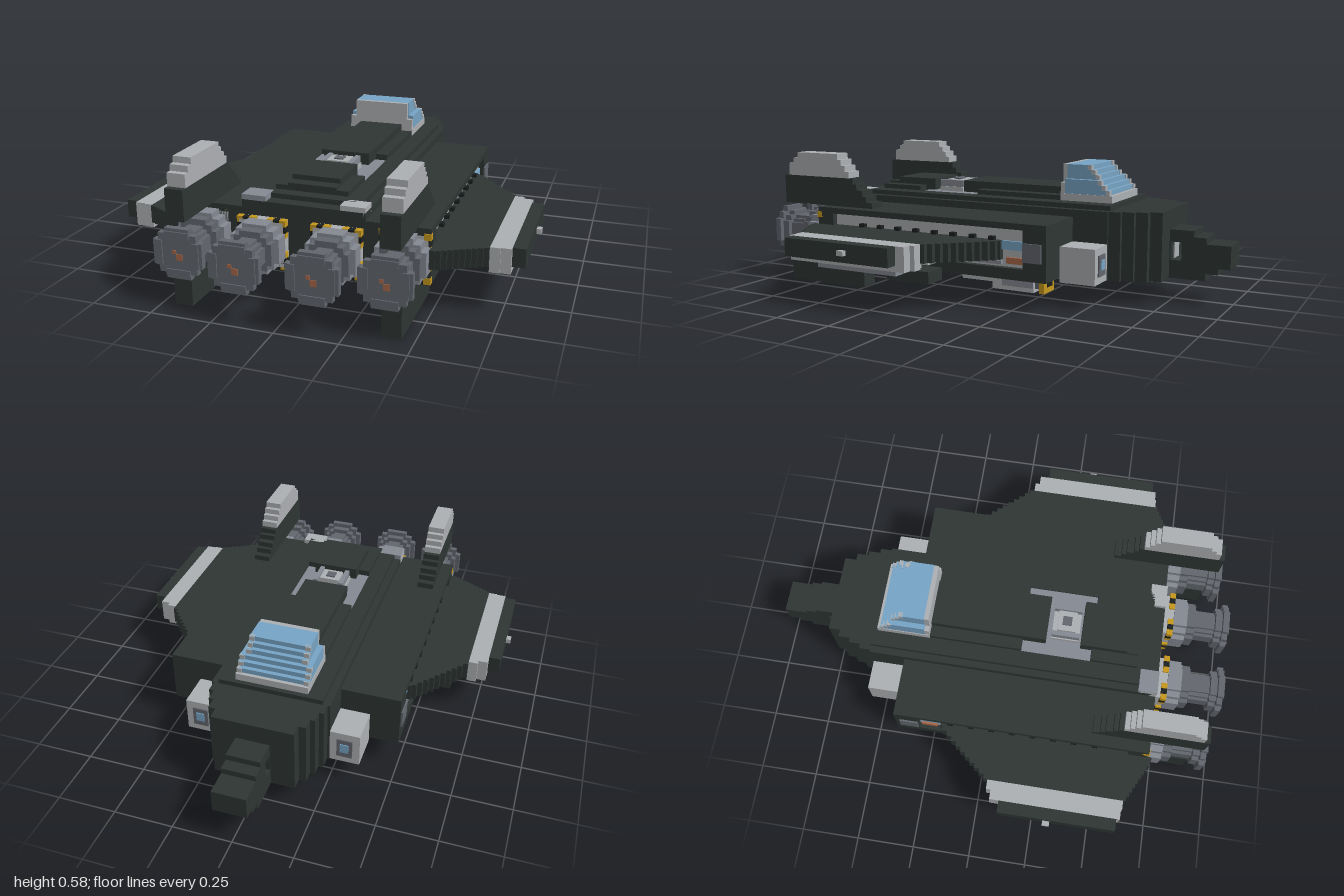
import * as THREE from 'three';

const mat = (name, color) => {
  const m = new THREE.MeshStandardMaterial({ color });
  m.name = name;
  return m;
};

export function createModel() {
  const hull = mat('dark hull', 0x2e3634);
  const light = mat('light grey', 0xaeb1b4);
  const mid = mat('mid grey', 0x868a94);
  const slate = mat('slate grey', 0x63676e);
  const yellow = mat('hazard yellow', 0xc6981c);
  const glass = mat('blue glass', 0x78a5c6);
  const copper = mat('copper', 0xa9694a);
  const black = mat('black', 0x1c2020);

  const ship = new THREE.Group();
  ship.name = 'spaceship';

  // Box given by its minimum and maximum on each axis
  const box = (name, m, x0, x1, y0, y1, z0, z1, parent = ship) => {
    const mesh = new THREE.Mesh(new THREE.BoxGeometry(Math.abs(x1 - x0), y1 - y0, z1 - z0), m);
    mesh.position.set((x0 + x1) / 2, (y0 + y1) / 2, (z0 + z1) / 2);
    mesh.name = name;
    parent.add(mesh);
    return mesh;
  };
  // The same box on both sides
  const pair = (name, m, x0, x1, ...rest) => {
    for (const s of [1, -1]) box(name, m, s * x0, s * x1, ...rest);
  };
  const mid0 = (name, m, w, ...rest) => box(name, m, -w, w, ...rest);

  // Central fuselage with a stepped taper to the nose
  mid0('fuselage', hull, 0.25, 0.1, 0.38, -0.55, 0.7);
  [[0.24, -0.6], [0.22, -0.65], [0.2, -0.7], [0.17, -0.75]].forEach(([w, z]) =>
    mid0('noseTaper', hull, w, 0.1, 0.38, z, z + 0.05));

  // Nose beam: stepped side profile with a through opening
  const steps = [[-0.75, 0.325], [-0.85, 0.3], [-0.9, 0.275], [-0.95, 0.25], [-1, 0.25]];
  const profile = new THREE.Shape();
  profile.moveTo(0.75, 0.1);
  profile.lineTo(0.9, 0.1);
  profile.lineTo(0.9, 0.13);
  profile.lineTo(0.95, 0.13);
  profile.lineTo(0.95, 0.155);
  profile.lineTo(1, 0.155);
  for (let i = steps.length - 1; i > 0; i--) {
    profile.lineTo(-steps[i][0], steps[i][1]);
    profile.lineTo(-steps[i - 1][0], steps[i][1]);
    profile.lineTo(-steps[i - 1][0], steps[i - 1][1]);
  }
  const hole = new THREE.Path();
  [[0.755, 0.175], [0.755, 0.25], [0.8, 0.25], [0.8, 0.175]].forEach(([a, b], i) =>
    i ? hole.lineTo(a, b) : hole.moveTo(a, b));
  profile.holes.push(hole);
  const nose = new THREE.Mesh(
    new THREE.ExtrudeGeometry(profile, { depth: 0.14, bevelEnabled: false }), hull);
  nose.name = 'nose';
  nose.rotation.y = Math.PI / 2;
  nose.position.x = -0.07;
  ship.add(nose);
  mid0('noseSensor', light, 0.03, 0.175, 0.25, -0.76, -0.75);

  // Raised spine in layers, open around the roof turret
  for (const [w, y0, y1, z0, z1] of [[0.22, 0.38, 0.4, -0.55, 0.65], [0.15, 0.4, 0.42, -0.53, 0.6]]) {
    mid0('spineFront', hull, w, y0, y1, z0, 0.1);
    mid0('spineRear', hull, w, y0, y1, 0.4, z1);
    if (w > 0.15) pair('spineSide', hull, 0.15, w, y0, y1, 0.1, 0.4);
  }
  mid0('ridgeFront', hull, 0.1, 0.4, 0.45, -0.3, 0.2);
  mid0('ridgeRear', hull, 0.1, 0.4, 0.45, 0.35, 0.55);
  mid0('ridgeStep', hull, 0.1, 0.4, 0.43, 0.55, 0.6);
  mid0('turretWell', mid, 0.15, 0.38, 0.395, 0.1, 0.4);
  mid0('turretBase', light, 0.075, 0.39, 0.415, 0.22, 0.34);
  mid0('turretDrum', light, 0.045, 0.41, 0.445, 0.24, 0.32);
  mid0('turretCap', slate, 0.02, 0.44, 0.45, 0.26, 0.3);
  pair('turretArm', mid, 0.05, 0.07, 0.41, 0.445, 0.22, 0.34);
  pair('deckVent', light, 0.15, 0.25, 0.35, 0.4, 0.63, 0.7);
  box('deckVentCover', mid, -0.25, -0.15, 0.38, 0.401, 0.62, 0.701);

  // Cockpit with a stair-stepped windscreen
  mid0('cockpitRear', light, 0.15, 0.42, 0.475, -0.32, -0.3);
  mid0('cockpitRearTop', light, 0.125, 0.475, 0.55, -0.32, -0.3);
  mid0('cockpitSill', light, 0.153, 0.4, 0.43, -0.53, -0.3);
  const rows = 6;
  for (let i = 0; i < rows; i++) {
    const y = 0.43 + i * 0.02;
    const w = i < 3 ? 0.15 : 0.127;
    const z = -0.515 + i * 0.018;
    mid0('windscreen', glass, w, y, y + 0.02, z, -0.32);
    pair('windscreenFrame', light, w - 0.02, w + 0.002, y, y + 0.02, z - 0.004, z + 0.014);
  }

  // Side hulls with a long recessed machinery channel
  pair('sideHull', hull, 0.25, 0.46, 0.125, 0.35, -0.4, 0.7);
  pair('sideRoof', hull, 0.46, 0.5, 0.325, 0.35, -0.4, 0.7);
  pair('sideFloor', hull, 0.46, 0.5, 0.125, 0.17, -0.4, 0.7);
  pair('sideRearPost', hull, 0.46, 0.5, 0.17, 0.325, 0.62, 0.7);
  pair('sideFrontPost', hull, 0.46, 0.5, 0.17, 0.325, -0.4, -0.3);
  pair('channelPanel', light, 0.46, 0.475, 0.17, 0.325, -0.3, 0.62);
  pair('channelPipe', mid, 0.475, 0.49, 0.18, 0.195, -0.2, 0.4);
  pair('sideWindow', glass, 0.475, 0.485, 0.24, 0.275, -0.29, -0.2);
  pair('sideFitting', slate, 0.5, 0.507, 0.2, 0.275, -0.38, -0.3);
  pair('sideCoil', copper, 0.475, 0.487, 0.185, 0.21, -0.29, -0.22);
  for (let i = 0; i < 8; i++)
    pair('channelClip', black, 0.475, 0.495, 0.275, 0.29, -0.17 + i * 0.09, -0.145 + i * 0.09);

  // Intake boxes beside the nose
  pair('intake', light, 0.25, 0.375, 0.105, 0.25, -0.55, -0.4);
  pair('intakeMouth', slate, 0.28, 0.345, 0.135, 0.22, -0.556, -0.55);
  pair('intakeLens', glass, 0.295, 0.33, 0.16, 0.2, -0.56, -0.555);

  // Wings in strips, swept in front and tapered behind
  const strips = 12;
  const x0 = 0.46, dx = 0.02;
  for (let i = 0; i < strips; i++) {
    const x = x0 + i * dx;
    const front = i < 2 ? -0.2 : -0.19 + (i - 2) * 0.0235;
    const rear = i < 3 ? 0.72 : 0.715 - (i - 3) * 0.0105;
    pair('wing', hull, x, x + dx, 0.2, 0.275, front, rear);
  }
  pair('wingBand', light, 0.7, 0.74, 0.175, 0.275, 0.04, 0.62);
  pair('wingBandOuter', light, 0.74, 0.78, 0.175, 0.275, 0.06, 0.615);
  pair('wingTip', hull, 0.78, 0.83, 0.2, 0.275, 0.1, 0.6);
  pair('wingTipLamp', light, 0.83, 0.85, 0.23, 0.25, 0.295, 0.325);
  pair('wingGun', mid, 0.7, 0.75, 0.15, 0.18, 0.12, 0.5);
  pair('wingPlate', light, 0.51, 0.63, 0.178, 0.2, 0.05, 0.45);
  pair('pod', hull, 0.53, 0.63, 0.1, 0.15, 0.05, 0.25);
  pair('podStrut', light, 0.57, 0.59, 0.15, 0.18, 0.12, 0.18);

  // Tail fins and lower skids
  [[0.35, 0.45], [0.375, 0.48], [0.4, 0.5], [0.425, 0.53], [0.45, 0.55]].forEach(([y, z]) =>
    pair('finBase', hull, 0.375, 0.45, y, y + 0.025, z, 0.925));
  [[0.475, 0.57, 0.9], [0.5, 0.59, 0.9], [0.525, 0.61, 0.875], [0.55, 0.63, 0.85]].forEach(([y, z, r]) =>
    pair('finTip', light, 0.375, 0.45, y, y + 0.028, z, r));
  pair('skid', hull, 0.375, 0.45, 0, 0.128, 0.5, 0.9);

  // Belly ramp and twin cannons
  mid0('ramp', light, 0.2, 0.055, 0.1, 0, 0.5);
  mid0('rampUnderside', mid, 0.175, 0.05, 0.055, 0.02, 0.48);
  pair('cannonBody', light, 0.1, 0.2, 0.03, 0.075, -0.05, 0.15);
  pair('cannonFoot', light, 0.1, 0.2, 0.0, 0.1, -0.2, 0);
  pair('cannonSide', mid, 0.2, 0.206, 0.02, 0.06, -0.2, -0.05);
  pair('cannonMuzzle', yellow, 0.1, 0.2, 0.0, 0.1, -0.25, -0.225);
  pair('cannonCollar', slate, 0.115, 0.185, 0.015, 0.085, -0.225, -0.2);
  pair('cannonBore', black, 0.125, 0.175, 0.025, 0.075, -0.254, -0.25);

  // Blocky disc from three crossed boxes
  const disc = (name, m, r, za, zb, g) => {
    for (const [a, b] of [[1, 0.5], [0.78, 0.78], [0.5, 1]])
      box(name, m, -r * a, r * a, -r * b, r * b, za, zb, g);
  };
  // Four engines; the inner two reach further back
  for (const [x, shift] of [[0.15, 0], [-0.15, 0], [0.4, -0.05], [-0.4, -0.05]]) {
    const g = new THREE.Group();
    g.name = 'engine';
    g.position.set(x, 0.23, shift);
    const c = 0.1;
    box('engineMount', light, -0.09, 0.09, -0.09, 0.09, 0.68, 0.75, g);
    for (const sx of [1, -1]) for (const sy of [1, -1]) {
      const corner = (m, a, b, d, e) =>
        box('engineCorner', m, sx * a, sx * b, Math.min(sy * d, sy * e), Math.max(sy * d, sy * e), 0.725, 0.75, g);
      corner(yellow, 0.075, c, 0.075, c);
      corner(black, 0.05, 0.075, 0.08, c);
      corner(yellow, 0.025, 0.05, 0.08, c);
      corner(black, 0.08, c, 0.05, 0.075);
      corner(yellow, 0.08, c, 0.03, 0.05);
    }
    disc('engineDrum', mid, 0.098, 0.75, 0.81, g);
    disc('engineCollar', slate, 0.085, 0.81, 0.85, g);
    disc('engineNeck', slate, 0.06, 0.85, 0.95, g);
    disc('nozzleFlare', slate, 0.08, 0.94, 0.97, g);
    disc('nozzle', slate, 0.1, 0.97, 0.995, g);
    // Square nozzle rim and glowing core
    for (const s of [1, -1]) {
      box('nozzleRim', slate, -0.05, 0.05, s * 0.075 - 0.0125, s * 0.075 + 0.0125, 0.99, 1, g);
      box('nozzleRim', slate, s * 0.0625, s * 0.0875, -0.05, 0.05, 0.99, 1, g);
    }
    box('nozzleCore', copper, -0.005, 0.02, -0.025, 0, 0.99, 0.998, g);
    box('nozzleCore', copper, -0.02, -0.005, 0, 0.015, 0.99, 0.998, g);
    ship.add(g);
  }
  // Hazard corners framing the outer engines
  for (const y of [0.13, 0.305])
    pair('hullHazard', yellow, 0.475, 0.502, y, y + 0.025, 0.68, 0.705);

  return ship;
}
